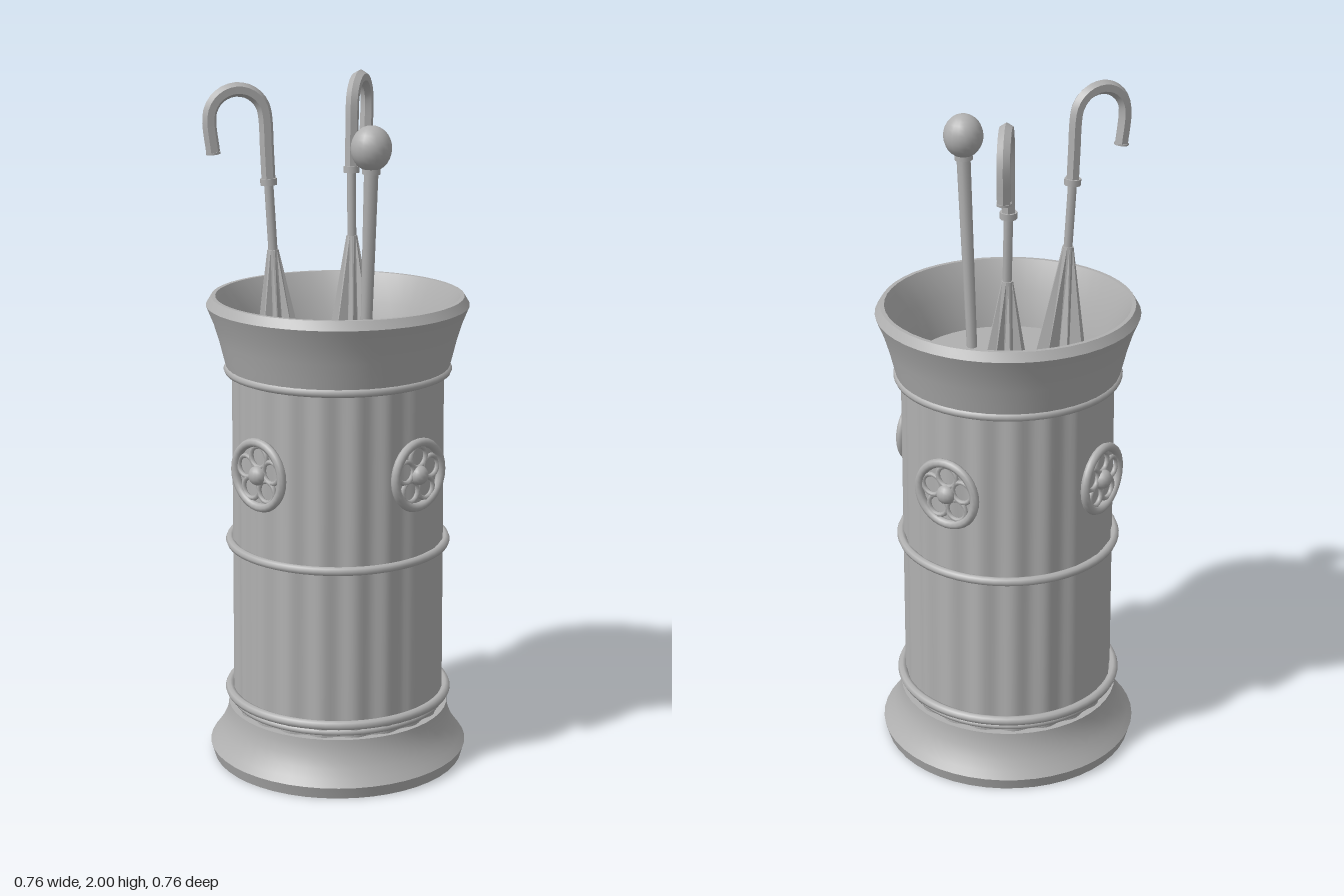
import * as THREE from 'three';
import { mergeVertices, toCreasedNormals } from 'three/addons/utils/BufferGeometryUtils.js';

const stone = new THREE.MeshStandardMaterial({ color: 0xb0b0b0 });
stone.name = 'stone grey';

function add(parent, name, geometry) {
  const mesh = new THREE.Mesh(geometry, stone);
  mesh.name = name;
  parent.add(mesh);
  return mesh;
}

function lathe(points) {
  const profile = points.map(([r, y]) => new THREE.Vector2(r, y));
  return toCreasedNormals(new THREE.LatheGeometry(profile, 48), 0.45);
}

// Round bar between two points
function rod(parent, name, from, to, rBottom, rTop, sides = 10) {
  const dir = to.clone().sub(from);
  const geo = new THREE.CylinderGeometry(rTop, rBottom, dir.length(), sides);
  const mesh = add(parent, name, geo);
  mesh.position.copy(from).addScaledVector(dir, 0.5);
  mesh.quaternion.setFromUnitVectors(new THREE.Vector3(0, 1, 0), dir.normalize());
  return mesh;
}

// Column wall with shallow vertical flutes
function flutedColumn() {
  let geo = new THREE.CylinderGeometry(0.302, 0.308, 1.08, 160, 1, true);
  geo.deleteAttribute('uv');
  geo.deleteAttribute('normal');
  geo = mergeVertices(geo);
  const p = geo.attributes.position;
  for (let i = 0; i < p.count; i++) {
    const k = 1 + 0.016 * Math.cos(20 * Math.atan2(p.getX(i), p.getZ(i)));
    p.setX(i, p.getX(i) * k);
    p.setZ(i, p.getZ(i) * k);
  }
  geo.computeVertexNormals();
  return geo.translate(0, 0.68, 0);
}

// Round rosette with five ring petals and a central boss
function medallion(angle) {
  const g = new THREE.Group();
  g.name = 'medallion';
  add(g, 'medallionRim', new THREE.TorusGeometry(0.094, 0.013, 8, 32)).position.z = 0.318;
  for (let i = 0; i < 5; i++) {
    const a = Math.PI / 2 + (i * Math.PI * 2) / 5;
    const petal = add(g, 'petalRing', new THREE.TorusGeometry(0.031, 0.007, 6, 16));
    petal.position.set(Math.cos(a) * 0.053, Math.sin(a) * 0.053, 0.316);
  }
  const boss = add(g, 'boss', new THREE.SphereGeometry(0.028, 14, 10));
  boss.position.z = 0.322;
  boss.scale.z = 0.85;
  g.position.y = 0.92;
  g.rotation.y = angle;
  return g;
}

// Closed canopy: a cone pleated into a star
function canopyGeometry(height) {
  const geo = new THREE.CylinderGeometry(0.016, 0.077, height, 16, 1);
  const p = geo.attributes.position;
  for (let i = 0; i < p.count; i++) {
    const step = Math.round((Math.atan2(p.getX(i), p.getZ(i)) * 8) / Math.PI);
    if (p.getY(i) < 0 && Math.abs(step) % 2 === 1) {
      p.setX(i, p.getX(i) * 0.55);
      p.setZ(i, p.getZ(i) * 0.55);
    }
  }
  const flat = geo.toNonIndexed();
  flat.computeVertexNormals();
  return flat;
}

function umbrella(side) {
  const g = new THREE.Group();
  g.name = side > 0 ? 'leftUmbrella' : 'rightUmbrella';
  const foot = new THREE.Vector3(side * 0.148, 1.19, -0.085);
  const neck = new THREE.Vector3(side * 0.166, 1.72, -0.108);
  const at = (t) => foot.clone().lerp(neck, t);

  const canopy = add(g, 'canopy', canopyGeometry(0.34));
  canopy.position.copy(at(0.32));
  canopy.quaternion.setFromUnitVectors(
    new THREE.Vector3(0, 1, 0), neck.clone().sub(foot).normalize());
  rod(g, 'shaft', at(0.5), at(1), 0.013, 0.013, 8);
  rod(g, 'collar', at(0.985), at(1.02), 0.024, 0.024, 10);

  // Hooked grip, leaning outward and back
  const out = new THREE.Vector3(side * 0.88, 0, -0.475);
  const spot = (d, y) => neck.clone().addScaledVector(out, d).setY(y);
  const path = [spot(0, 1.72), spot(0.004, 1.81)];
  for (let i = 0; i <= 8; i++) {
    const a = Math.PI - (i / 8) * Math.PI * 1.03;
    path.push(spot(0.088 + 0.08 * Math.cos(a), 1.9 + 0.08 * Math.sin(a)));
  }
  path.push(spot(0.158, 1.81));
  const curve = new THREE.CatmullRomCurve3(path);
  add(g, 'grip', toCreasedNormals(new THREE.TubeGeometry(curve, 32, 0.02, 6), 0.5));
  const tip = curve.getPoint(1);
  rod(g, 'gripTip', tip, tip.clone().addScaledVector(curve.getTangent(1), 0.006), 0.021, 0.021, 8);
  return g;
}

function cane() {
  const g = new THREE.Group();
  g.name = 'cane';
  const foot = new THREE.Vector3(-0.053, 1.18, 0.158);
  const top = new THREE.Vector3(-0.061, 1.77, 0.188);
  rod(g, 'caneShaft', foot, top, 0.015, 0.02);
  rod(g, 'caneCollar', new THREE.Vector3(-0.061, 1.762, 0.187),
    new THREE.Vector3(-0.061, 1.78, 0.188), 0.026, 0.026, 12);
  const knob = add(g, 'knob', new THREE.SphereGeometry(0.057, 18, 14));
  knob.position.set(-0.061, 1.832, 0.188);
  knob.scale.y = 1.1;
  return g;
}

export function createModel() {
  const model = new THREE.Group();
  model.name = 'umbrellaStand';

  // Flared foot
  add(model, 'base', lathe([[0, 0], [0.372, 0], [0.382, 0.035], [0.367, 0.055], [0.35, 0.08],
    [0.336, 0.11], [0.328, 0.14], [0.326, 0.16], [0.28, 0.16]]));
  add(model, 'column', flutedColumn());

  // Flared mouth with its hollow and floor
  add(model, 'mouth', lathe([[0.29, 1.19], [0.322, 1.19], [0.33, 1.22], [0.341, 1.265],
    [0.356, 1.315], [0.377, 1.367], [0.362, 1.392], [0.35, 1.392], [0.31, 1.31],
    [0.286, 1.2], [0, 1.2]]));

  // Hoops around the column
  for (const [y, r, tube] of [[1.18, 0.316, 0.013], [0.665, 0.316, 0.013],
    [0.203, 0.322, 0.014], [0.175, 0.306, 0.01]]) {
    const hoop = add(model, 'hoop', new THREE.TorusGeometry(r, tube, 8, 56));
    hoop.rotation.x = Math.PI / 2;
    hoop.position.y = y;
  }

  for (let i = 0; i < 4; i++) model.add(medallion((i * Math.PI) / 2));
  model.add(umbrella(1), umbrella(-1), cane());
  return model;
}
